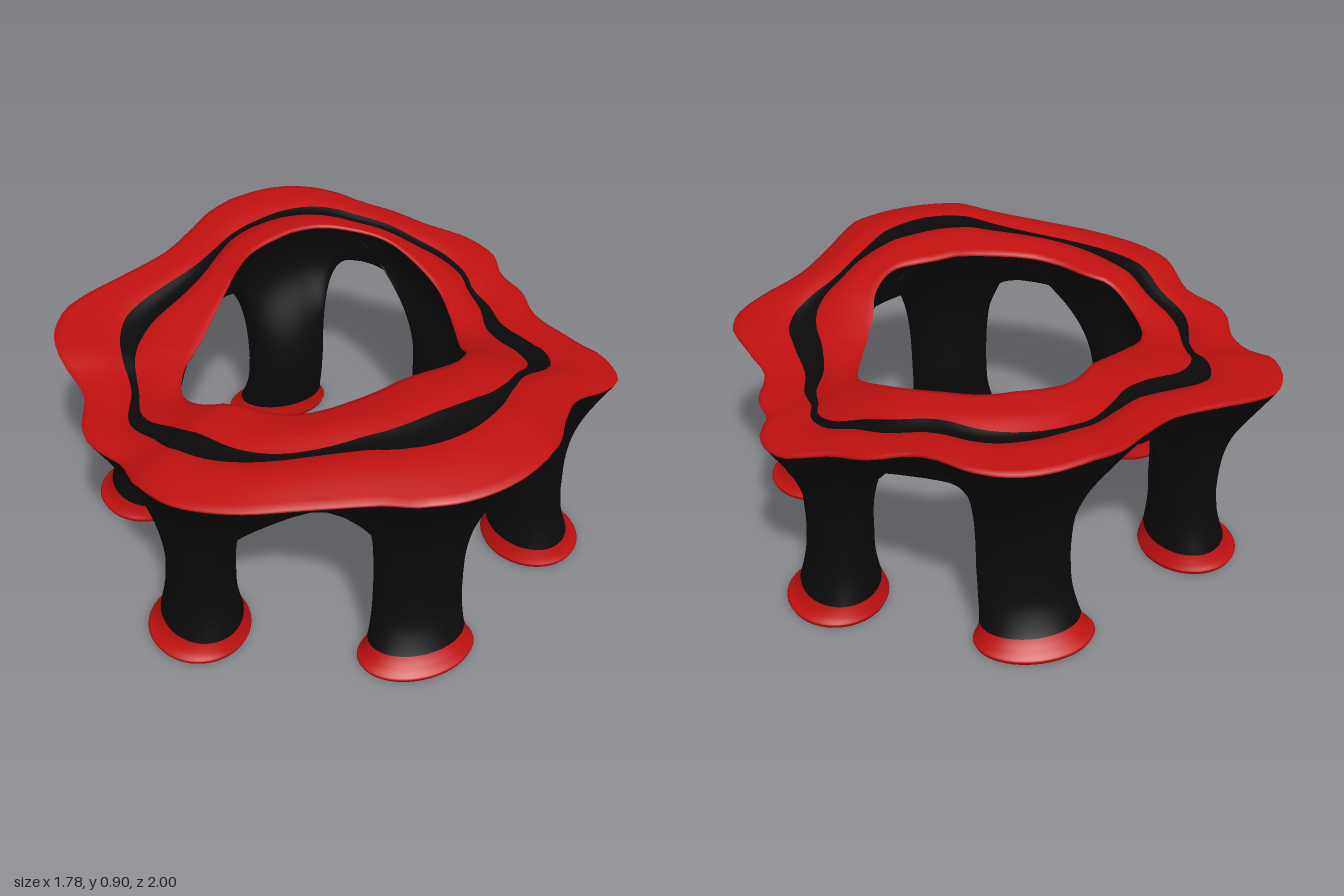
import * as THREE from 'three';

const RED = new THREE.MeshStandardMaterial({ color: 0xc01010 });
const BLACK = new THREE.MeshStandardMaterial({ color: 0x0a0a0a });
const V = (x, y, z) => new THREE.Vector3(x, y, z);
const polar = (r, y, angle) => V(r * Math.cos(angle), y, r * Math.sin(angle));
const { smoothstep, degToRad } = THREE.MathUtils;
const range = (n, rule) => Array.from({ length: n }, (_, i) => rule(i));

// Skin a list of closed rings with smooth normals.
function loft(name, rings, material) {
  const n = rings[0].length, index = [];
  for (let j = 0; j < rings.length - 1; j++) {
    for (let i = 0; i < n; i++) {
      const k = (i + 1) % n;
      const a = j * n + i, b = j * n + k, c = a + n, d = b + n;
      index.push(a, c, b, b, c, d);
    }
  }
  const geo = new THREE.BufferGeometry().setFromPoints(rings.flat());
  geo.setIndex(index);
  geo.computeVertexNormals();
  const mesh = new THREE.Mesh(geo, material);
  mesh.name = name;
  return mesh;
}

// Radius at each angle of a smooth closed outline given as x, z pairs.
function polarOutline(pairs) {
  const pts = range(pairs.length / 2, (i) => V(pairs[2 * i], 0, pairs[2 * i + 1]));
  const fine = new THREE.CatmullRomCurve3(pts, true).getPoints(900);
  return (angle) => {
    const ux = Math.cos(angle), uz = Math.sin(angle);
    let best = fine[0], score = -2;
    for (const p of fine) {
      const s = (p.x * ux + p.z * uz) / p.length();
      if (s > score) { score = s; best = p; }
    }
    return best.length();
  };
}

const outerRadius = polarOutline([
  0.80, 0, 0.85, 0.2, 0.89, 0.35, 0.86, 0.47, 0.78, 0.53, 0.62, 0.6, 0.52, 0.7,
  0.38, 0.87, 0.22, 0.96, 0.06, 0.99, -0.08, 0.97, -0.2, 0.9, -0.38, 0.82,
  -0.58, 0.73, -0.74, 0.6, -0.81, 0.45, -0.82, 0.3, -0.89, 0.15, -0.89, 0.05,
  -0.85, -0.1, -0.89, -0.35, -0.87, -0.47, -0.8, -0.58, -0.7, -0.63, -0.4, -0.73,
  -0.27, -0.83, -0.15, -0.93, 0.05, -1, 0.17, -1, 0.28, -0.95, 0.42, -0.81,
  0.55, -0.74, 0.65, -0.65, 0.79, -0.56, 0.84, -0.43, 0.81, -0.3, 0.83, -0.17]);

const innerRadius = polarOutline([
  0.47, 0, 0.4, 0.19, 0.37, 0.29, 0.29, 0.38, 0.13, 0.41, -0.03, 0.44, -0.24, 0.43,
  -0.34, 0.37, -0.41, 0.29, -0.5, 0.21, -0.545, 0.05, -0.51, -0.08, -0.4, -0.21,
  -0.24, -0.4, -0.13, -0.53, -0.03, -0.58, 0.16, -0.6, 0.29, -0.54, 0.4, -0.45,
  0.48, -0.29, 0.5, -0.19]);

// The ring is highest at x = 0.2 and slopes down to both sides.
const ceiling = (x) => 0.9 - 0.14 * Math.max(0, 0.18 - x) - 0.3 * Math.max(0, x - 0.25);

// Lip radii and heights of the ring at one angle.
function station(angle) {
  const ro = outerRadius(angle), ri = innerRadius(angle);
  const s = Math.sin(angle), c = Math.cos(angle);
  const backRight = smoothstep(-c, 0, 0.6) * smoothstep(-s, 0, 0.4);
  const lift = smoothstep(Math.abs(ro * s), 0.2 - 0.1 * backRight, 0.9 - 0.12 * backRight);
  const yo = Math.min(0.69 + 0.16 * lift, ceiling(ro * c) - 0.015);
  const rise = smoothstep(Math.abs(ri * s), 0, s > 0 ? 0.46 : 0.62);
  const yi = Math.min(0.705 + 0.17 * rise, ceiling(ri * c) - 0.01);
  const crest = 0.045 * Math.max(0, s);
  const band = 0.075 + 0.04 * Math.sin(angle * 5 + 0.6);
  return { angle, ro, ri, w: ro - ri, yo, yi, crest, band };
}
const outerEdge = (q) => polar(q.ro - 0.004, q.yo - 0.012, q.angle);
const innerEdge = (q) => polar(q.ri + 0.004, q.yi - 0.012, q.angle);

// Red top face with a shallow dark groove along its middle.
function buildTop(stations) {
  const top = (pick) => stations.map((q) => {
    const t = pick(q);
    const groove = 0.028 * Math.exp(-Math.pow((t - 0.52) / 0.14, 2));
    const y = q.yo + (q.yi - q.yo) * t + q.crest * Math.sin(Math.PI * t) - groove;
    return polar(q.ro - q.w * t, y, q.angle);
  });
  const strip = (from, to) => range(9, (j) => top((q) => from(q) + (to(q) - from(q)) * j / 8));
  const a = (q) => 0.51 - q.band, b = (q) => 0.51 + q.band;
  return [
    loft('outerRim', [stations.map(outerEdge), ...strip(() => 0, a)], RED),
    loft('rimGroove', strip(a, b), BLACK),
    loft('innerRim', [...strip(b, () => 1), stations.map(innerEdge)], RED)];
}

// Underside of the ring at the top of an arch, from outer to inner lip.
function crown(q, bottom, n) {
  const hi = q.yi - bottom, ho = q.yo - bottom;
  const pts = [
    [q.ro - 0.15 * q.w, q.yo - 0.45 * ho], [q.ro - 0.25 * q.w, bottom + 0.2 * ho],
    [q.ro - 0.37 * q.w, bottom + 0.015], [q.ri + 0.47 * q.w, bottom],
    [q.ri + 0.33 * q.w, bottom + 0.01], [q.ri + 0.2 * q.w, bottom + 0.15 * hi],
    [q.ri + 0.1 * q.w, q.yi - 0.45 * hi]].map(([r, y]) => polar(r, y, q.angle));
  return new THREE.CatmullRomCurve3([outerEdge(q), ...pts, innerEdge(q)]).getPoints(n);
}

// Leg stations: centre x, y, z, then half widths in x and z.
const END_LEG = [
  [0.01, 0.012, 0.76, 0.205, 0.14], [0.015, 0.035, 0.75, 0.185, 0.128],
  [0.02, 0.08, 0.735, 0.168, 0.112], [0.03, 0.17, 0.71, 0.157, 0.102],
  [0.035, 0.28, 0.70, 0.155, 0.1]];
const SIDE_LEG = [
  [0.635, 0.012, 0.39, 0.175, 0.19], [0.625, 0.035, 0.385, 0.155, 0.183],
  [0.62, 0.08, 0.38, 0.135, 0.174], [0.614, 0.17, 0.37, 0.117, 0.165],
  [0.608, 0.27, 0.363, 0.112, 0.167]];

// Arches around the ring: angle in degrees and height of the opening.
const ARCHES = [[0, 0.53], [63, 0.67], [113, 0.67], [180, 0.42], [247, 0.67], [297, 0.67], [360, 0.53]];
// Legs between them: outward angle, profile, mirror in x and z, shift in x and z.
const LEGS = [
  ['leftFrontLeg', 32, SIDE_LEG, 1, 1, 0, 0], ['frontLeg', 90, END_LEG, 1, 1, 0, 0],
  ['rightFrontLeg', 148, SIDE_LEG, -1, 1, 0, 0], ['rightBackLeg', 212, SIDE_LEG, -1, -1, 0, 0.035],
  ['backLeg', 270, END_LEG, 1, -1, 0.02, 0.04], ['leftBackLeg', 328, SIDE_LEG, 1, -1, 0, 0.035]];
const ARC = 24, SIDE = 24, RISE = 20;

// One leg: red foot, shaft, and a top that flares into the lips and two arches.
function buildLeg([name, facing, table, mx, mz, dx, dz], sector, [startArch, endArch]) {
  const leg = new THREE.Group();
  leg.name = name;
  const smooth = (pts) => new THREE.CatmullRomCurve3(pts, false, 'catmullrom');
  const centres = smooth(table.map((t) => V(t[0] * mx + dx, t[1], t[2] * mz + dz)));
  const widths = smooth(table.map((t) => V(t[3], 0, t[4])));

  // Closed outline at the top, each point with its arrival direction.
  const outline = [];
  const lipPull = (angle, side) => polar(0.5 * side, 0, angle).setY(0.8);
  const sweepAt = (angle, sign) => V(-Math.sin(angle) * sign, 0, Math.cos(angle) * sign);
  const add = (p, turn, pull, sweep, w) => outline.push({ p, turn, pull, sweep, w });
  const addLip = (edge, side, start) => range(ARC + 1, (i) => {
    const q = sector[side > 0 ? i : ARC - i], f = 2 * i / ARC - 1;
    add(edge(q), start + 120 * i / ARC, lipPull(q.angle, side),
      sweepAt(q.angle, side * Math.sign(f)), 1 - 0.5 * Math.pow(f, 6));
  });
  const addArch = (q, height, sign, turn) => {
    const pts = crown(q, height, SIDE);
    range(SIDE - 1, (i) => {
      const k = sign > 0 ? i + 1 : SIDE - 1 - i, s = k / SIDE;
      const w = 0.5 * Math.max(0, 1 - 3.5 * Math.min(s, 1 - s));
      add(pts[k], turn + 60 * (i + 1) / SIDE, lipPull(q.angle, s < 0.5 ? 1 : -1),
        sweepAt(q.angle, sign), w);
    });
  };
  addLip(outerEdge, 1, -60);
  addArch(sector[ARC], endArch[1], 1, 60);
  addLip(innerEdge, -1, 120);
  addArch(sector[0], startArch[1], -1, 240);

  const section = (u, scale = 1, y) => {
    const c = centres.getPoint(u), h = widths.getPoint(u);
    return outline.map(({ turn }) => {
      const a = degToRad(facing + turn);
      return V(c.x + h.x * scale * Math.cos(a), y ?? c.y, c.z + h.z * scale * Math.sin(a));
    });
  };
  const neck = section(1);
  const paths = outline.map(({ p, pull, sweep, w }, i) => {
    const from = neck[i], rise = p.y - from.y;
    const reach = Math.hypot(p.x - from.x, p.z - from.z);
    const viaLip = p.clone().addScaledVector(pull, -0.5 * rise);
    const viaArch = p.clone().addScaledVector(sweep, -0.6 * reach);
    const up = from.clone().setY(from.y + (0.85 - 0.35 * w) * rise);
    return new THREE.CubicBezierCurve3(from, up, viaArch.lerp(viaLip, w), p).getPoints(RISE);
  });
  const rows = range(25, (j) => section(j / 24));
  const flare = range(RISE, (j) => paths.map((path) => path[j + 1]));
  const split = 11;
  leg.add(
    loft('sole', [section(0, 0.001, 0.04), section(0, 0.4, 0.035), section(0, 0.72, 0.015)], BLACK),
    loft('foot', [section(0, 0.72, 0.015), section(0, 0.88, 0.002), section(0, 0.97, 0),
      ...rows.slice(0, split + 1)], RED),
    loft('shaft', [...rows.slice(split), ...flare], BLACK));
  return leg;
}

export function createModel() {
  const model = new THREE.Group();
  model.name = 'sixLeggedRing';
  const sectors = LEGS.map((_, k) => range(ARC + 1, (i) =>
    station(degToRad(ARCHES[k][0] + (ARCHES[k + 1][0] - ARCHES[k][0]) * i / ARC))));
  model.add(...buildTop(sectors.flatMap((s) => s.slice(0, ARC))));
  LEGS.forEach((spec, k) => model.add(buildLeg(spec, sectors[k], [ARCHES[k], ARCHES[k + 1]])));
  return model;
}
